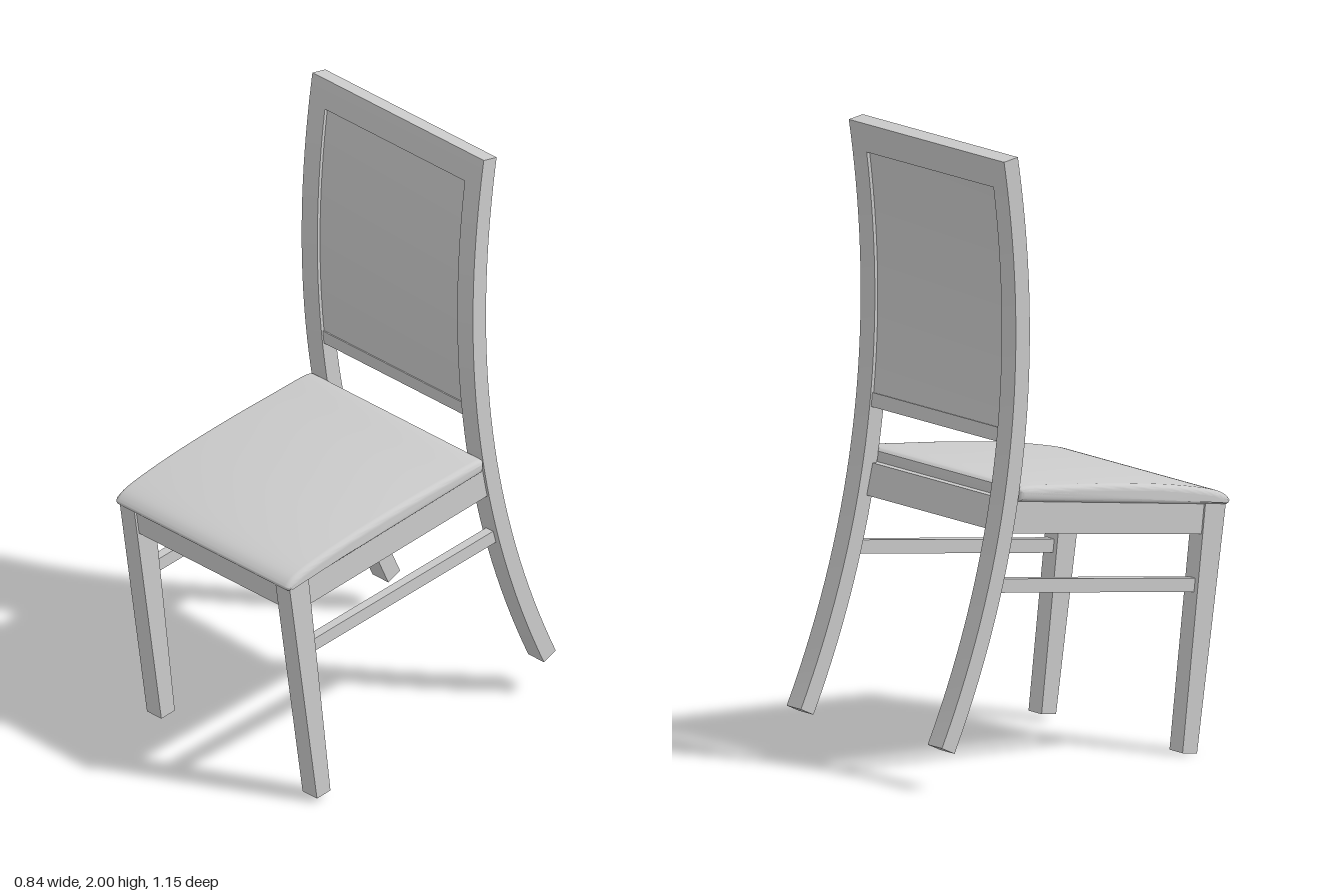
import * as THREE from 'three';
import { toCreasedNormals } from 'three/addons/utils/BufferGeometryUtils.js';

const material = new THREE.MeshStandardMaterial({ color: 0xcccccc });

// Extrudes a side profile of [z, y] points across x, centred on x
function sidePart(name, points, width, x = 0, bevel = 0) {
  const shape = new THREE.Shape(points.map(([z, y]) => new THREE.Vector2(z, y)));
  const depth = width - 2 * bevel;
  const geometry = new THREE.ExtrudeGeometry(shape, {
    depth, bevelEnabled: bevel > 0, bevelSize: bevel, bevelThickness: bevel,
    bevelOffset: -bevel, bevelSegments: 5,
  });
  geometry.translate(0, 0, -depth / 2).rotateY(-Math.PI / 2).translate(x, 0, 0);
  const mesh = new THREE.Mesh(toCreasedNormals(geometry, 0.6), material);
  mesh.name = name;
  return mesh;
}

// Point on the bowed back curve at height y, set back along its normal
function backPoint(y, inset) {
  const u = y - 1.4;
  const z = -0.232 - 0.005 * u - 0.159 * u * u + 0.0117 * u ** 3;
  const slope = -0.005 - 0.318 * u + 0.0351 * u * u;
  const len = Math.hypot(1, slope);
  return [z - inset / len, y + (inset * slope) / len];
}

// Closed profile following the back curve between two heights
function backProfile(y0, y1, inset, depth, steps) {
  const front = [], rear = [];
  for (let i = 0; i <= steps; i++) {
    const y = y0 + ((y1 - y0) * i) / steps;
    front.push(backPoint(y, inset));
    rear.push(backPoint(y, inset + depth));
  }
  return [...rear, ...front.reverse()];
}

// Height of the sloping underside of the cushion
const seatY = (z) => 0.857 - 0.132 * z;

// Smooth crowned top of the cushion, rolling over the front edge
function cushionProfile() {
  const top = new THREE.SplineCurve([
    [-0.268, 0.915], [-0.25, 0.938], [-0.1, 0.926], [0.1, 0.906], [0.3, 0.879],
    [0.45, 0.851], [0.53, 0.829], [0.563, 0.806], [0.566, 0.793], [0.555, 0.784],
  ].map(([z, y]) => new THREE.Vector2(z, y)));
  const points = top.getPoints(45).map((p) => [p.x, p.y]);
  return [[-0.265, seatY(-0.265)], ...points];
}

export function createModel() {
  const chair = new THREE.Group();
  chair.name = 'diningChair';

  // Back frame and padded panel
  chair.add(
    sidePart('topRail', backProfile(1.895, 1.99, 0, 0.055, 4), 0.784),
    sidePart('backPanel', backProfile(1.115, 1.895, 0.01, 0.035, 20), 0.645, 0, 0.006),
    sidePart('lowerBackRail', backProfile(1.07, 1.115, 0.006, 0.043, 2), 0.645),
  );

  // Seat cushion, with front and rear aprons
  chair.add(
    sidePart('seatCushion', cushionProfile(), 0.8, 0, 0.02),
    sidePart('frontApron', [
      [0.502, 0.697], [0.532, 0.697], [0.545, seatY(0.545) + 0.01], [0.515, seatY(0.515) + 0.01],
    ], 0.66),
    sidePart('rearApron', [
      [-0.31, 0.795], [-0.278, 0.791], [-0.255, seatY(-0.255) + 0.005], [-0.288, seatY(-0.288)],
    ], 0.65),
  );

  // Mirrored legs, side aprons and stretchers
  for (const [side, s] of [['left', 1], ['right', -1]]) {
    chair.add(
      sidePart(side + 'BackPost', backProfile(0.122, 1.895, 0, 0.055, 32), 0.072, s * 0.356),
      sidePart(side + 'FrontLeg', [
        [0.393, 0.014], [0.45, 0.007], [0.552, seatY(0.552) + 0.005], [0.472, seatY(0.472) + 0.005],
      ], 0.066, s * 0.356),
      sidePart(side + 'Apron', [
        [-0.295, 0.794], [0.48, 0.698], [0.48, seatY(0.48) + 0.005], [-0.275, seatY(-0.275) + 0.005],
      ], 0.035, s * 0.365),
      sidePart(side + 'Stretcher', [
        [-0.345, 0.61], [0.45, 0.517], [0.455, 0.56], [-0.335, 0.653],
      ], 0.032, s * 0.356),
    );
  }

  // Slight turn and lean of the whole chair
  chair.rotation.set(0, 0.03, 0.019);
  chair.position.x = 0.02;

  const model = new THREE.Group();
  model.name = 'chairModel';
  model.add(chair);
  return model;
}
